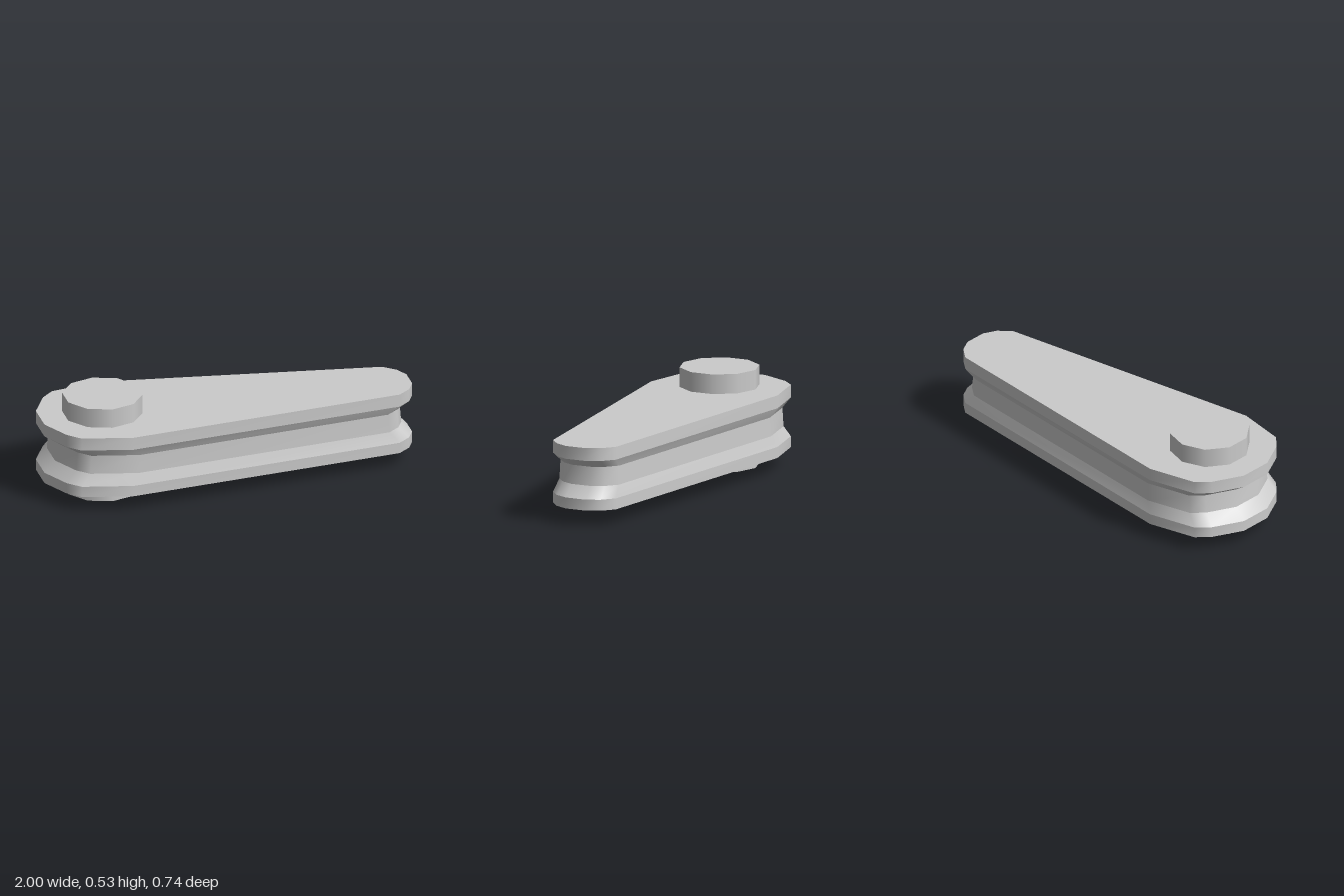
import * as THREE from 'three';

const material = new THREE.MeshStandardMaterial({ color: 0xcccccc });

// Half of the tapered plan outline (x, z), wide end to narrow end
const half = [
  [-1, 0.09], [-0.92, 0.25], [-0.855, 0.315], [-0.59, 0.372],
  [0.9, 0.185], [0.965, 0.13], [1, 0.06],
];
const outline = [...half, ...half.slice().reverse().map(([x, z]) => [x, -z])];

// Side wall between two heights, smooth around the outline
function band(y0, sx0, sz0, y1, sx1, sz1) {
  const n = outline.length;
  const positions = [];
  const index = [];
  outline.forEach(([x, z], i) => {
    positions.push(x * sx0, y0, z * sz0, x * sx1, y1, z * sz1);
    const a = 2 * i;
    const b = 2 * ((i + 1) % n);
    index.push(a, b, b + 1, a, b + 1, a + 1);
  });
  const geometry = new THREE.BufferGeometry();
  geometry.setAttribute('position', new THREE.Float32BufferAttribute(positions, 3));
  geometry.setIndex(index);
  geometry.computeVertexNormals();
  return geometry;
}

// Flat plate closing the body, facing up (1) or down (-1)
function cap(y, facing) {
  const shape = new THREE.Shape(outline.map(([x, z]) => new THREE.Vector2(x, z)));
  return new THREE.ShapeGeometry(shape).rotateX(-facing * Math.PI / 2).translate(0, y, 0);
}

export function createModel() {
  const model = new THREE.Group();
  const add = (parent, name, geometry) => {
    const mesh = new THREE.Mesh(geometry, material);
    mesh.name = name;
    parent.add(mesh);
  };

  // Grooved body: height, x scale, z scale
  const levels = [
    [0.086, 1, 1], [0.145, 1, 1], [0.207, 0.942, 0.945],
    [0.308, 0.933, 0.935], [0.353, 1, 1], [0.422, 1, 1],
  ];
  const names = ['lowerRim', 'lowerBevel', 'groove', 'upperBevel', 'upperRim'];
  const body = new THREE.Group();
  body.name = 'body';
  names.forEach((name, i) => add(body, name, band(...levels[i], ...levels[i + 1])));
  add(body, 'topPlate', cap(0.422, 1));
  add(body, 'bottomPlate', cap(0.086, -1));
  model.add(body);

  // Pivot pin through the wide end
  add(model, 'pivotPin',
    new THREE.CylinderGeometry(0.212, 0.212, 0.527, 10).translate(-0.665, 0.2635, 0.008));

  return model;
}
